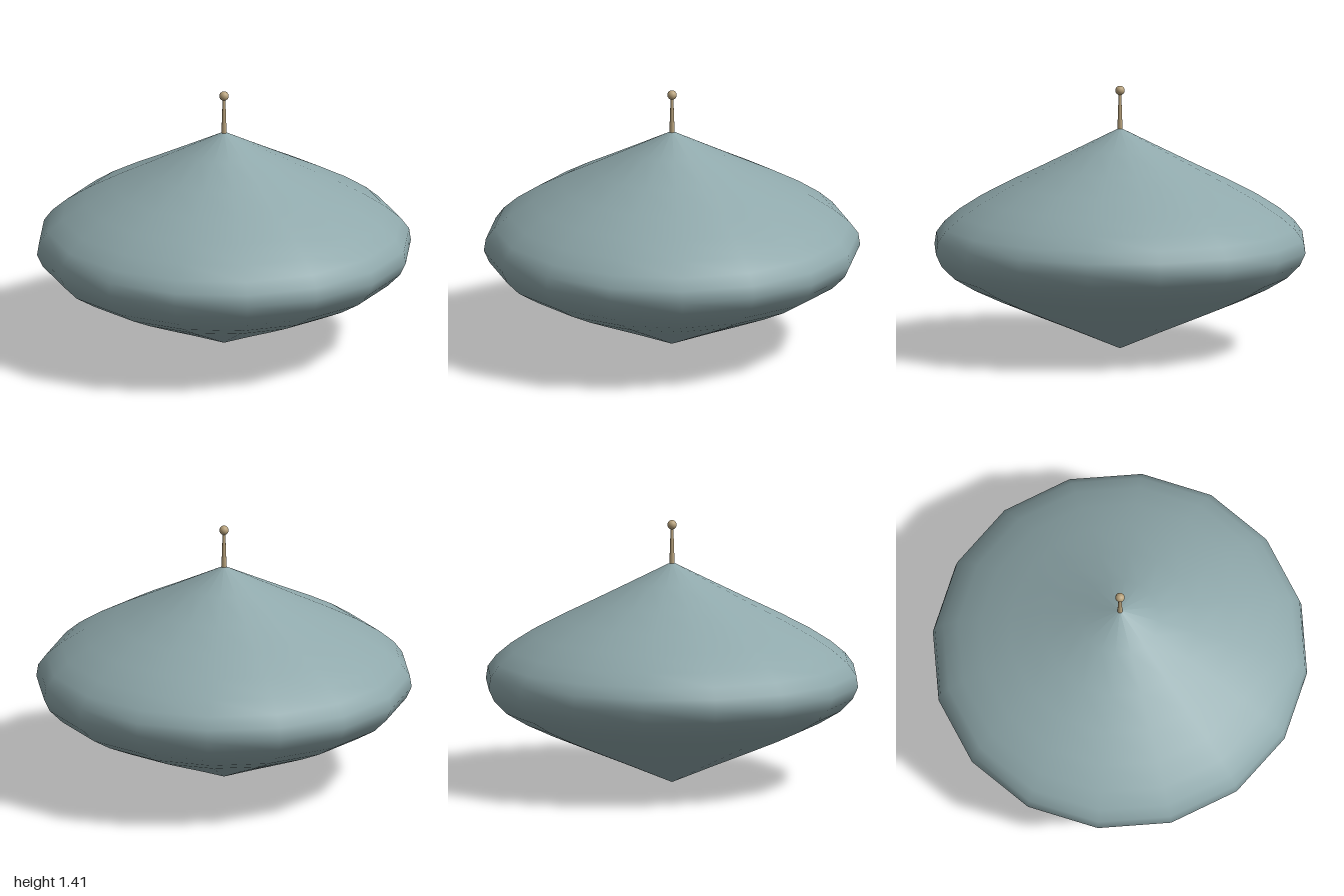
import * as THREE from 'three';

export function createModel() {
  const model = new THREE.Group();
  const hullPaint = new THREE.MeshStandardMaterial({ color: 0x8fa8ab });
  hullPaint.name = 'greyTeal';
  const brass = new THREE.MeshStandardMaterial({ color: 0xb8a27c });
  brass.name = 'paleBrass';

  const add = (name, geometry, material, y = 0) => {
    const mesh = new THREE.Mesh(geometry, material);
    mesh.name = name;
    mesh.position.y = y;
    model.add(mesh);
  };

  // Sixteen-sided spinning-top hull, radius and height from bottom tip to top tip
  const profile = [
    [0, 0], [0.25, 0.105], [0.47, 0.195], [0.65, 0.27], [0.79, 0.335],
    [0.9, 0.4], [0.97, 0.47], [1, 0.535], [0.99, 0.6], [0.945, 0.66],
    [0.866, 0.727], [0.745, 0.805], [0.59, 0.888], [0.41, 0.977],
    [0.21, 1.078], [0, 1.185],
  ].map(([r, y]) => new THREE.Vector2(r, y));
  add('hull', new THREE.LatheGeometry(profile, 16), hullPaint);

  // Tapered mast with a ball on its tip
  add('mast', new THREE.CylinderGeometry(0.007, 0.014, 0.2, 12), brass, 1.278);
  add('mastBall', new THREE.SphereGeometry(0.025, 16, 12), brass, 1.384);

  return model;
}
